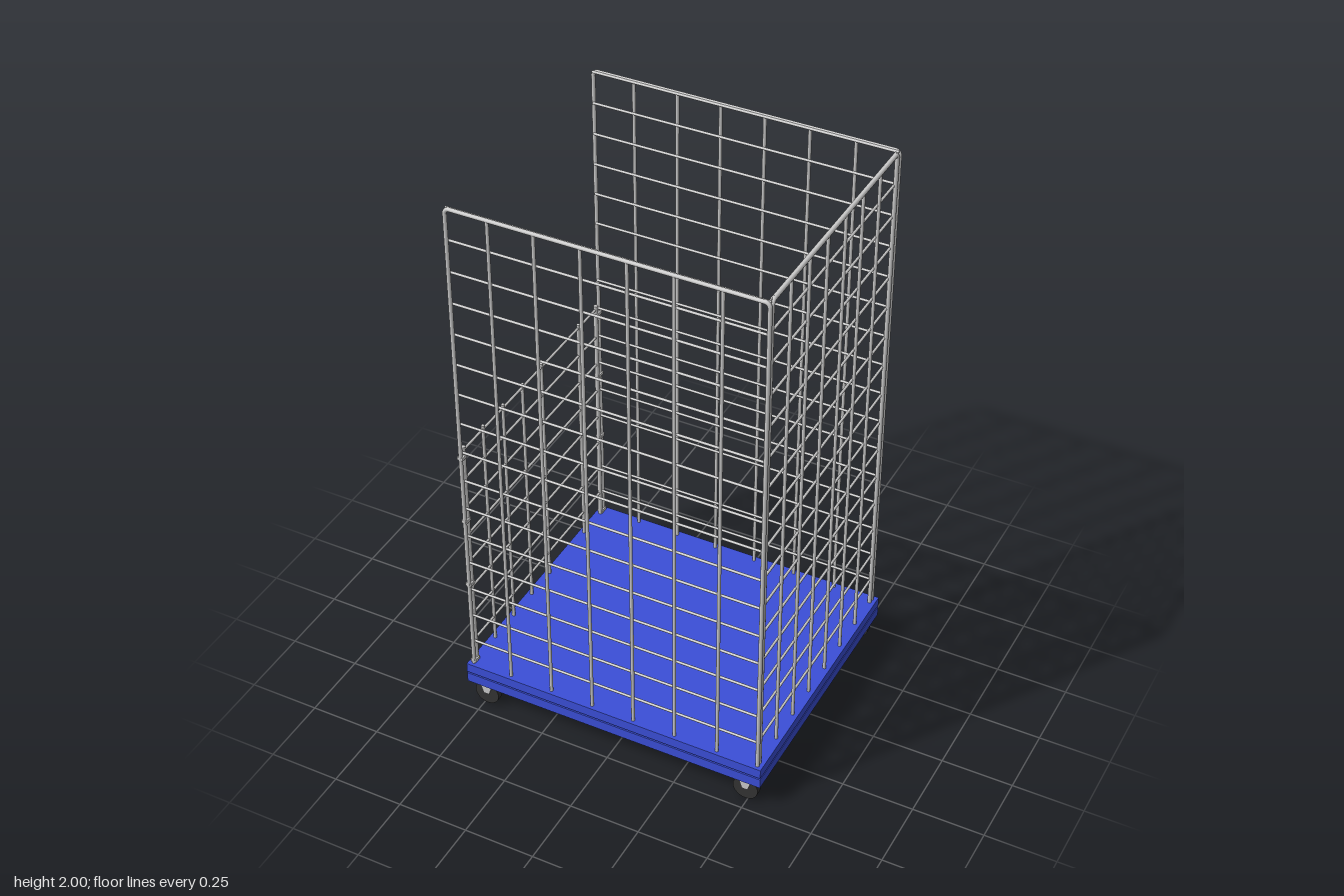
import * as THREE from 'three';

const steel = new THREE.MeshStandardMaterial({ color: 0xcccccc });
const blue = new THREE.MeshStandardMaterial({ color: 0x3b4fd8 });
const rubber = new THREE.MeshStandardMaterial({ color: 0x333333 });

const DECK = 0.17, TOP = 1.99, STEP = 0.115;

function add(parent, name, geometry, material, x = 0, y = 0, z = 0) {
  const mesh = new THREE.Mesh(geometry, material);
  mesh.name = name;
  mesh.position.set(x, y, z);
  parent.add(mesh);
  return mesh;
}

function upright(parent, name, x, top, r) {
  add(parent, name, new THREE.CylinderGeometry(r, r, top - DECK, 10), steel, x, (DECK + top) / 2, 0);
}

function crossbar(parent, name, y, halfLength, r, z = 0) {
  const bar = add(parent, name, new THREE.CylinderGeometry(r, r, halfLength * 2, 10), steel, 0, y, z);
  bar.rotation.z = Math.PI / 2;
}

// Wire mesh wall in the local xy plane, outer side +z; inset moves the crosswires inwards
function wall(name, { half, wires, r, top, inset, framed }) {
  const g = new THREE.Group();
  g.name = name;
  const bend = 0.016;
  for (const s of [-1, 1]) {
    upright(g, 'framePost', s * half, framed ? top - bend : top, r);
    if (framed) {
      const corner = add(g, 'frameCorner', new THREE.TorusGeometry(bend, r, 10, 6, Math.PI / 2),
        steel, s * (half - bend), top - bend, 0);
      if (s < 0) corner.rotation.z = Math.PI / 2;
    }
  }
  if (framed) crossbar(g, 'topRail', top, half - bend, r);
  for (const x of wires) upright(g, 'verticalWire', x, top, 0.006);
  for (let y = 0.265; y < top + 0.005; y += STEP) {
    crossbar(g, 'horizontalWire', y, half, 0.0045, -inset);
  }
  return g;
}

// Caster with its axle along z
function caster(x, z) {
  const g = new THREE.Group();
  g.name = 'caster';
  g.position.set(x, 0, z);
  const tyre = add(g, 'wheel', new THREE.CylinderGeometry(0.045, 0.045, 0.022, 28), rubber, 0, 0.045, 0);
  tyre.rotation.x = Math.PI / 2;
  // Tapered fork cheeks close against the wheel
  const cheek = new THREE.Shape([
    new THREE.Vector2(-0.026, 0.093), new THREE.Vector2(-0.01, 0.045),
    new THREE.Vector2(0.01, 0.045), new THREE.Vector2(0.026, 0.093),
  ]);
  const cheekGeometry = new THREE.ExtrudeGeometry(cheek, { depth: 0.003, bevelEnabled: false });
  for (const side of [-0.016, 0.013]) add(g, 'fork', cheekGeometry, steel, 0, 0, side);
  return g;
}

export function createModel() {
  const model = new THREE.Group();
  model.name = 'rollCage';

  // Platform: upper lip, narrow groove and lower band
  const base = new THREE.Group();
  base.name = 'platform';
  model.add(base);
  for (const [name, y0, y1, inset] of [
    ['upperLip', 0.134, DECK, 0], ['groove', 0.128, 0.134, 0.006], ['lowerBand', 0.091, 0.128, 0],
  ]) {
    const slab = new THREE.BoxGeometry(1.104 - 2 * inset, y1 - y0, 0.948 - 2 * inset);
    add(base, name, slab, blue, 0, (y0 + y1) / 2, 0);
  }

  // Three full-height walls
  const longWires = [-0.388, -0.232, -0.077, 0.077, 0.23, 0.386];
  const sideWires = [-0.314, -0.188, -0.063, 0.063, 0.188, 0.314];
  for (const s of [-1, 1]) {
    const long = wall(s > 0 ? 'frontWall' : 'backWall',
      { half: 0.533, wires: longWires, r: 0.007, top: TOP, inset: 0.007, framed: true });
    long.position.z = s * 0.456;
    if (s < 0) long.rotation.y = Math.PI;
    model.add(long);
  }
  const left = wall('leftWall',
    { half: 0.44, wires: sideWires, r: 0.0075, top: TOP, inset: 0.005, framed: true });
  left.position.x = 0.532;

  // Low gate, with one wire fewer towards the back
  const gate = wall('rightGate', {
    half: 0.437, wires: sideWires.filter((x) => x !== 0.188), r: 0.008, top: 1.085, inset: 0, framed: false,
  });
  gate.position.x = -0.534;
  left.rotation.y = gate.rotation.y = Math.PI / 2;
  model.add(left, gate);

  // Clips joining the gate to the neighbouring posts
  for (const z of [-0.447, 0.447]) {
    for (const y of [0.18, 0.52, 0.79, 1.05]) {
      add(model, 'gateClip', new THREE.BoxGeometry(0.02, 0.012, 0.028), steel, -0.533, y, z);
    }
  }

  for (const x of [-0.49, 0.49]) for (const z of [-0.443, 0.443]) model.add(caster(x, z));
  return model;
}
